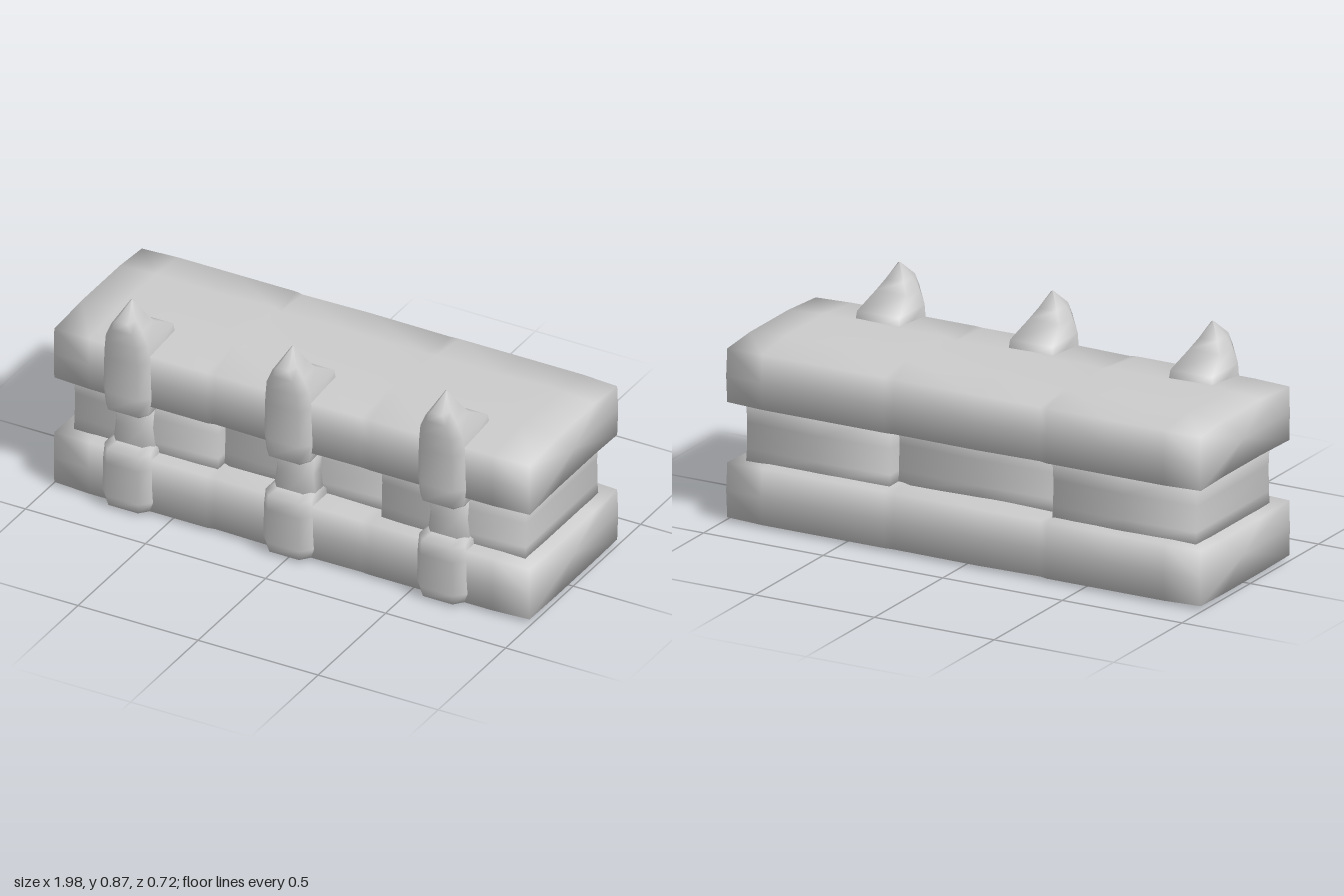
import * as THREE from 'three';

const stone = new THREE.MeshStandardMaterial({ color: 0xcccccc });

// Smooth closed skin over a row of equal-sized rings of [x, y, z] points
function loft(name, rings) {
  const n = rings[0].length, last = rings.length - 1;
  const points = rings.flat(), index = [];
  for (let i = 0; i < last; i++) for (let j = 0; j < n; j++) {
    const k = (j + 1) % n;
    const a = i * n + j, b = i * n + k, c = b + n, d = a + n;
    index.push(a, b, c, a, c, d);
  }
  for (const i of [0, last]) {
    const mid = points.length;
    points.push([0, 1, 2].map(c => rings[i].reduce((s, p) => s + p[c], 0) / n));
    for (let j = 0; j < n; j++) {
      const a = i * n + j, b = i * n + (j + 1) % n;
      if (i === 0) index.push(mid, b, a); else index.push(mid, a, b);
    }
  }
  const geometry = new THREE.BufferGeometry();
  geometry.setAttribute('position', new THREE.Float32BufferAttribute(points.flat(), 3));
  geometry.setIndex(index);
  geometry.computeVertexNormals();
  const mesh = new THREE.Mesh(geometry, stone);
  mesh.name = name;
  return mesh;
}

// Long worn slab: stations along x are [x, inset, crown height change]
function slab(name, bottom, top, bottomCrown, topCrown, stations) {
  return loft(name, stations.map(([x, inset, lift]) => {
    const back = -0.35 + inset, front = 0.31 - inset, mid = (bottom + top) / 2;
    return [
      [bottom + inset * 0.5, back], [mid, back - 0.008], [top - inset * 0.5, back],
      [top + topCrown + lift, -0.18], [top + topCrown + lift, 0.1],
      [top - inset * 0.5, front], [mid, front + 0.004], [bottom + inset * 0.5, front],
      [bottom - bottomCrown - lift, 0.1], [bottom - bottomCrown - lift, -0.18],
    ].map(([y, z]) => [x, y, z]);
  }));
}

// Upright piece: levels are [y, half width, back z, front z], front corners chamfered
function upright(name, x, levels) {
  return loft(name, levels.map(([y, w, back, front]) => {
    const side = front - Math.min(0.04, (front - back) / 2);
    return [
      [-w, back], [-w, side], [-0.65 * w, front],
      [0.65 * w, front], [w, side], [w, back],
    ].map(([dx, z]) => [x + dx, y, z]);
  }));
}

// Middle course stone with slightly hollow faces
function block(name, x0, x1, back, front) {
  const rows = [[0.22, 0], [0.28, 0.008], [0.38, 0.01], [0.48, 0]];
  return loft(name, rows.map(([y, dip]) => [
    [x0, y, back + dip], [x0, y, front - dip], [(x0 + x1) / 2, y, front + dip],
    [x1, y, front - dip], [x1, y, back + dip], [(x0 + x1) / 2, y, back - dip / 2],
  ]));
}

export function createModel() {
  const model = new THREE.Group();
  model.name = 'stoneWall';

  // Slabs, with shallow joints about a third of the way from each end
  const stations = [
    [-0.99, 0.006, -0.008], [-0.84, 0, 0.003], [-0.6, 0, -0.002], [-0.35, 0, 0.004],
    [-0.32, 0.004, -0.006], [-0.05, 0, 0], [0.29, 0.002, -0.006],
    [0.33, 0, 0.002], [0.6, 0, 0], [0.84, 0, 0.004], [0.99, 0.006, -0.008],
  ];
  model.add(slab('lowerSlab', 0.02, 0.237, 0.008, 0, stations));
  model.add(slab('upperSlab', 0.463, 0.675, 0, 0.018, stations));

  // Middle course, the centre stone set back between its neighbours
  model.add(block('middleStoneRight', -0.94, -0.34, -0.295, 0.25));
  model.add(block('middleStoneCentre', -0.39, 0.39, -0.23, 0.2));
  model.add(block('middleStoneLeft', 0.34, 0.94, -0.295, 0.25));

  // Three spiked uprights on the front
  for (const x of [-0.68, -0.01, 0.63]) {
    const post = new THREE.Group();
    post.name = 'spikedPost';
    post.add(upright('postFoot', x, [
      [0.02, 0.095, 0.2, 0.345], [0.06, 0.105, 0.2, 0.352],
      [0.2, 0.1, 0.2, 0.355], [0.26, 0.095, 0.2, 0.352], [0.275, 0.07, 0.2, 0.31],
    ]));
    post.add(upright('postShaft', x, [
      [0.22, 0.09, 0.18, 0.305], [0.34, 0.075, 0.18, 0.302], [0.45, 0.085, 0.18, 0.305],
    ]));
    post.add(upright('postSpike', x, [
      [0.4, 0.07, 0.2, 0.31], [0.43, 0.09, 0.2, 0.353], [0.5, 0.1, 0.15, 0.353],
      [0.65, 0.095, 0.12, 0.355], [0.72, 0.088, 0.13, 0.357], [0.775, 0.064, 0.225, 0.358],
      [0.815, 0.038, 0.25, 0.357], [0.875, 0.003, 0.28, 0.29],
    ]));
    model.add(post);
  }
  return model;
}
